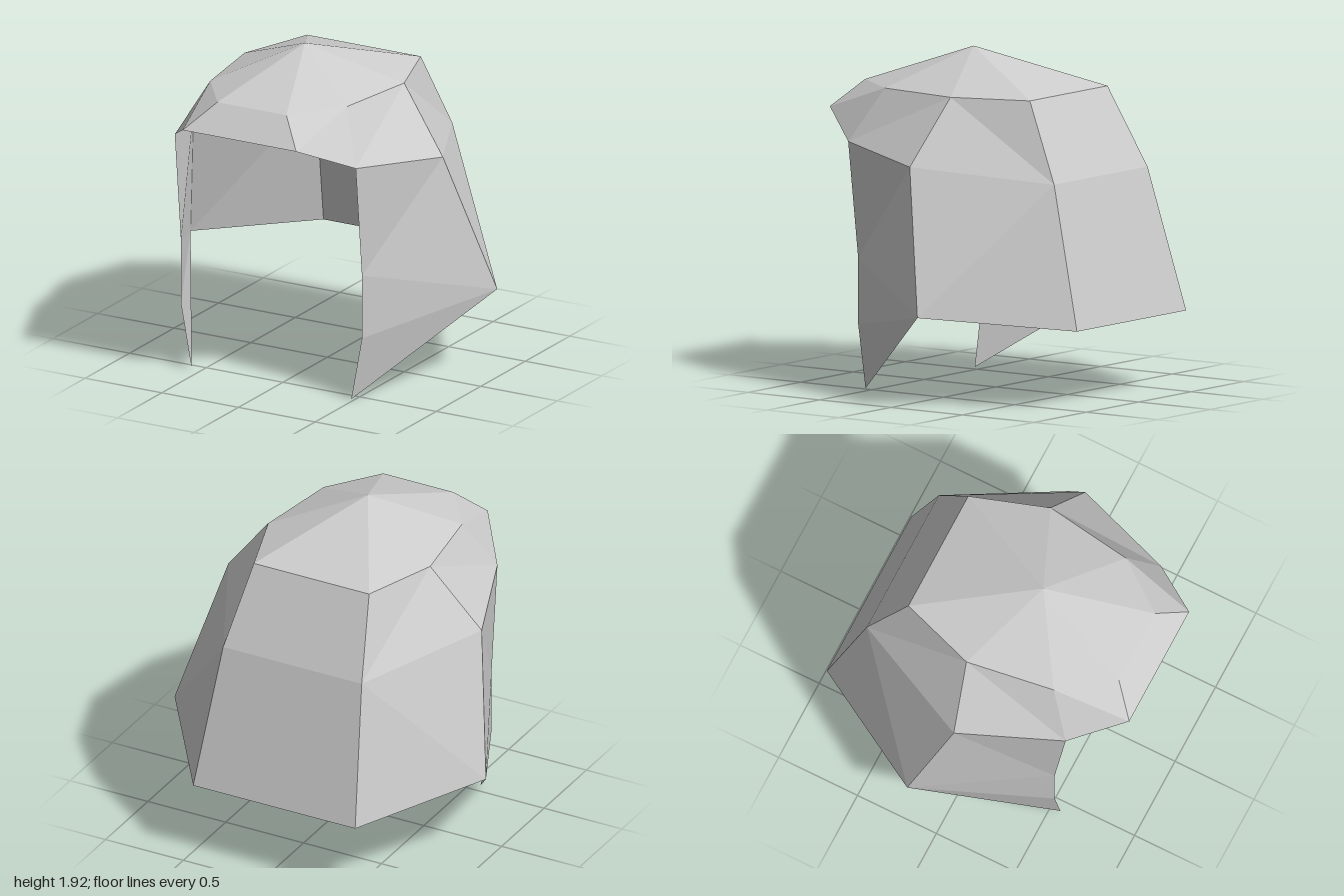
import * as THREE from 'three';

const MID = -0.04; // plane of symmetry
const INSIDE = new THREE.Vector3(MID, 0.8, 0); // faces are turned away from this point

// Corners of one side: [distance from the middle, y, z]
const P = {
  apex: [0, 1.925, 0.185],
  visorTop: [0.225, 1.71, 0.78],
  visorTip: [0.37, 1.56, 0.92],
  crownFront: [0.445, 1.71, 0.48],
  crownSide: [0.52, 1.71, -0.035],
  crownBack: [0.37, 1.71, -0.48],
  brow: [0.59, 1.41, 0.63],
  temple: [0.813, 1.34, 0.035],
  napeTop: [0.445, 1.26, -0.705],
  napeLow: [0.52, 0.45, -0.92],
  jaw: [1, 0.525, -0.185],
  cheekTop: [0.59, 0.75, 0.56],
  cheekLow: [0.59, 0.375, 0.56],
  cheekTip: [0.52, 0, 0.56],
};

function corner(name, side) {
  const [d, y, z] = P[name];
  // the jaw corners reach the full width on both sides
  return new THREE.Vector3(name === 'jaw' ? side : MID + side * d, y, z);
}

// Mirrored triangles plus bands that cross the middle
function panel(name, material, triangles, bands = []) {
  const pos = [];
  const add = (a, b, c) => {
    const n = b.clone().sub(a).cross(c.clone().sub(a));
    const out = a.clone().add(b).add(c).divideScalar(3).sub(INSIDE);
    const order = n.dot(out) > 0 ? [a, b, c] : [a, c, b];
    order.forEach((v) => pos.push(v.x, v.y, v.z));
  };
  for (const side of [1, -1]) {
    for (const t of triangles) add(...t.split(' ').map((k) => corner(k, side)));
  }
  for (const band of bands) {
    const [u, v] = band.split(' ');
    add(corner(u, -1), corner(u, 1), corner(v, 1));
    if (u !== 'apex') add(corner(u, -1), corner(v, 1), corner(v, -1));
    else {
      // at the apex the band narrows to a single triangle
      pos.length -= 9;
      add(corner(u, 1), corner(v, 1), corner(v, -1));
    }
  }
  const g = new THREE.BufferGeometry();
  g.setAttribute('position', new THREE.Float32BufferAttribute(pos, 3));
  g.computeVertexNormals();
  const mesh = new THREE.Mesh(g, material);
  mesh.name = name;
  return mesh;
}

export function createModel() {
  const shell = new THREE.MeshStandardMaterial({ color: 0xcccccc, flatShading: true, side: THREE.DoubleSide });
  shell.name = 'shell grey';

  const helmet = new THREE.Group();
  helmet.name = 'helmet';
  helmet.add(
    // faceted cap around the apex
    panel('crown', shell, [
      'apex visorTop crownFront',
      'apex crownFront crownSide',
      'apex crownSide crownBack',
    ], ['apex visorTop', 'apex crownBack']),
    // peak over the face
    panel('visor', shell, [
      'visorTop visorTip crownFront',
      'crownFront visorTip brow',
    ], ['visorTop visorTip']),
    // sides above the cheeks
    panel('temples', shell, [
      'crownFront brow crownSide',
      'crownSide brow temple',
    ]),
    // back of the head and neck guard
    panel('neckGuard', shell, [
      'crownSide crownBack napeTop',
      'crownSide napeTop temple',
      'temple napeTop jaw',
      'napeTop napeLow jaw',
    ], ['crownBack napeTop', 'napeTop napeLow']),
    // pointed cheek plates
    panel('cheekGuards', shell, [
      'brow temple cheekTop',
      'temple jaw cheekTop',
      'cheekTop jaw cheekLow',
      'cheekLow jaw cheekTip',
    ]),
  );
  return helmet;
}
